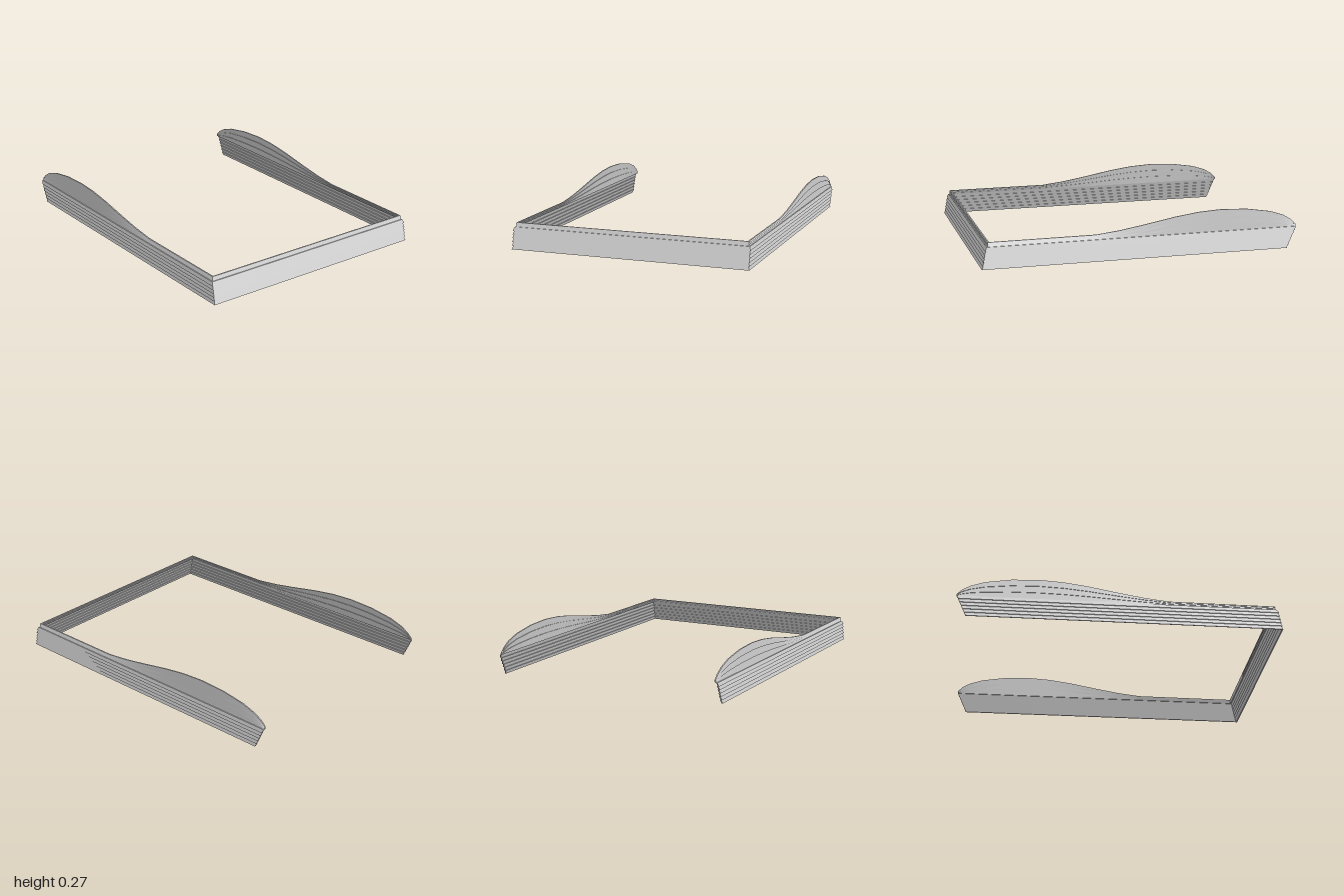
import * as THREE from 'three';

const THICK = 0.008;

// Outline of the raised side boards: x, height
const crest = [
  [-1, 0.15], [-0.97, 0.18], [-0.92, 0.21], [-0.83, 0.24], [-0.67, 0.265],
  [-0.5, 0.272], [-0.35, 0.263], [-0.2, 0.242], [0, 0.205], [0.15, 0.18],
  [0.3, 0.163], [1, 0.162],
];

function crestHeight(x) {
  let i = 0;
  while (i < crest.length - 2 && x > crest[i + 1][0]) i++;
  const [x0, y0] = crest[i];
  const [x1, y1] = crest[i + 1];
  return THREE.MathUtils.lerp(y0, y1, THREE.MathUtils.clamp((x - x0) / (x1 - x0), 0, 1));
}

// One edge of a plank: base height, outward offset, share of the crest height (0 = straight)
function edgePoint(edge, t, side, inset) {
  const tip = -0.94 - 0.06 * Math.min(edge.y / 0.135, 1);
  const end = 0.993 - 0.19 * edge.y + edge.out - inset;
  const x = THREE.MathUtils.lerp(tip, end, t);
  const y = edge.y + edge.rise * (crestHeight(x) - 0.135);
  return [x, y, side * (0.757 + edge.out - inset)];
}

// A plank running along one side, across the end and back along the other side
function plank(name, lower, upper, material) {
  const ts = [...crest.map(([x]) => (x + 1) / 1.96).filter((t) => t < 0.9), 1];
  const stations = [
    ...ts.map((t) => [t, 1]),
    ...ts.slice().reverse().map((t) => [t, -1]),
  ];
  const sections = stations.map(([t, side]) => [
    edgePoint(lower, t, side, 0),
    edgePoint(upper, t, side, 0),
    edgePoint(upper, t, side, THICK),
    edgePoint(lower, t, side, THICK),
  ]);
  const positions = [];
  const quad = (a, b, c, d) => positions.push(...a, ...b, ...c, ...a, ...c, ...d);
  for (let s = 0; s < sections.length - 1; s++) {
    for (let k = 0; k < 4; k++) {
      const n = (k + 1) % 4;
      quad(sections[s][k], sections[s + 1][k], sections[s + 1][n], sections[s][n]);
    }
  }
  // Closed tips
  quad(...sections[0]);
  quad(...sections[sections.length - 1].slice().reverse());

  const geometry = new THREE.BufferGeometry();
  geometry.setAttribute('position', new THREE.Float32BufferAttribute(positions, 3));
  geometry.computeVertexNormals();
  const mesh = new THREE.Mesh(geometry, material);
  mesh.name = name;
  return mesh;
}

export function createModel() {
  const group = new THREE.Group();
  group.name = 'plankedSurround';
  const material = new THREE.MeshStandardMaterial({
    color: 0xcccccc, flatShading: true, side: THREE.DoubleSide,
  });

  // Straight overlapping planks of the lower wall
  const step = 0.135 / 6;
  for (let i = 0; i < 6; i++) {
    group.add(plank(`lowerPlank${i + 1}`,
      { y: i * step, out: 0.007, rise: 0 },
      { y: (i + 1) * step, out: 0, rise: 0 }, material));
  }

  // Set-back upper planks that fan out into the raised sides
  for (let i = 0; i < 3; i++) {
    group.add(plank(`upperPlank${i + 1}`,
      { y: 0.135, out: -0.006, rise: i / 3 },
      { y: 0.135, out: -0.01, rise: (i + 1) / 3 }, material));
  }
  return group;
}
